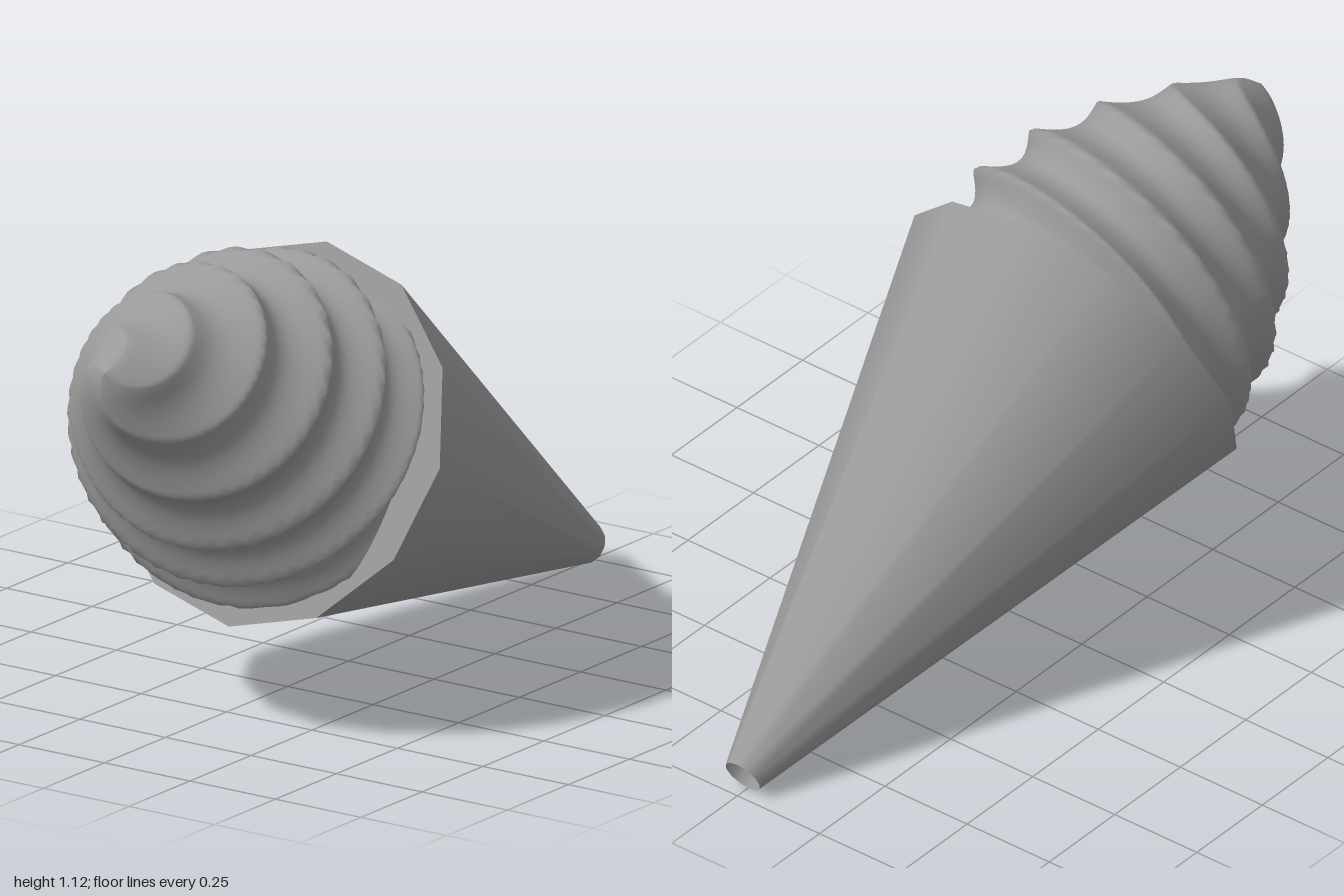
import * as THREE from 'three';
import { mergeVertices } from 'three/addons/utils/BufferGeometryUtils.js';

const LOBES = 4;       // spiral ridges around the swirl
const PITCH = 0.628;   // rise of one ridge per full turn
const PHASE = 0.1;     // height of a ridge at the upper side
const LEAN = 0.07;     // ridges sit a little higher on the right side
const RELIEF = 0.135;  // groove depth as a share of the radius

// Lathed dome cut by twisted round grooves that meet in sharp crests
function swirlGeometry() {
  const outline = new THREE.SplineCurve([
    [0.41, -0.06], [0.432, 0.02], [0.438, 0.1], [0.413, 0.235], [0.349, 0.39],
    [0.267, 0.517], [0.2, 0.605], [0.12, 0.7], [0.06, 0.752], [0, 0.783],
  ].map(([r, y]) => new THREE.Vector2(r, y)));
  const points = outline.getPoints(80);
  points[points.length - 1].x = 0;

  const geo = new THREE.LatheGeometry(points, 120);
  const pos = geo.attributes.position;
  for (let i = 0; i < pos.count; i++) {
    const x = pos.getX(i), y = pos.getY(i), z = pos.getZ(i);
    const turn = (Math.PI - Math.atan2(x, z)) / (2 * Math.PI);
    const ridge = LOBES * ((y + LEAN * x - PHASE) / PITCH - turn);
    const k = 1 - RELIEF * Math.abs(Math.sin(Math.PI * ridge));
    pos.setXYZ(i, x * k, y, z * k);
  }
  // Weld the seam so the normals run smoothly round
  geo.deleteAttribute('uv');
  geo.deleteAttribute('normal');
  const welded = mergeVertices(geo, 1e-5);
  welded.computeVertexNormals();
  return welded;
}

export function createModel() {
  const material = new THREE.MeshStandardMaterial({ color: 0x999999 });
  const waferMaterial = new THREE.MeshStandardMaterial({ color: 0x999999, side: THREE.DoubleSide });
  const model = new THREE.Group();
  model.name = 'iceCreamCone';

  // Everything is built upright around the rim centre, then laid forward
  const body = new THREE.Group();
  body.name = 'tiltedBody';
  body.position.set(0, 0.64, 0.29);
  body.rotation.x = Math.acos(0.424);
  model.add(body);

  // Twelve-sided wafer, open at the blunt tip
  const radius = 0.474, length = 1.402;
  const cone = new THREE.Mesh(new THREE.CylinderGeometry(radius, 0.05, length, 12, 1, true), waferMaterial);
  cone.name = 'waferCone';
  cone.position.y = -length / 2;
  body.add(cone);

  // Flat disc closing the rim under the swirl
  const rim = new THREE.Mesh(new THREE.CircleGeometry(radius, 12), waferMaterial);
  rim.name = 'rimDisc';
  rim.rotation.x = -Math.PI / 2;
  body.add(rim);

  // Soft swirl rising from the rim
  const swirl = new THREE.Mesh(swirlGeometry(), material);
  swirl.name = 'creamSwirl';
  body.add(swirl);

  return model;
}
